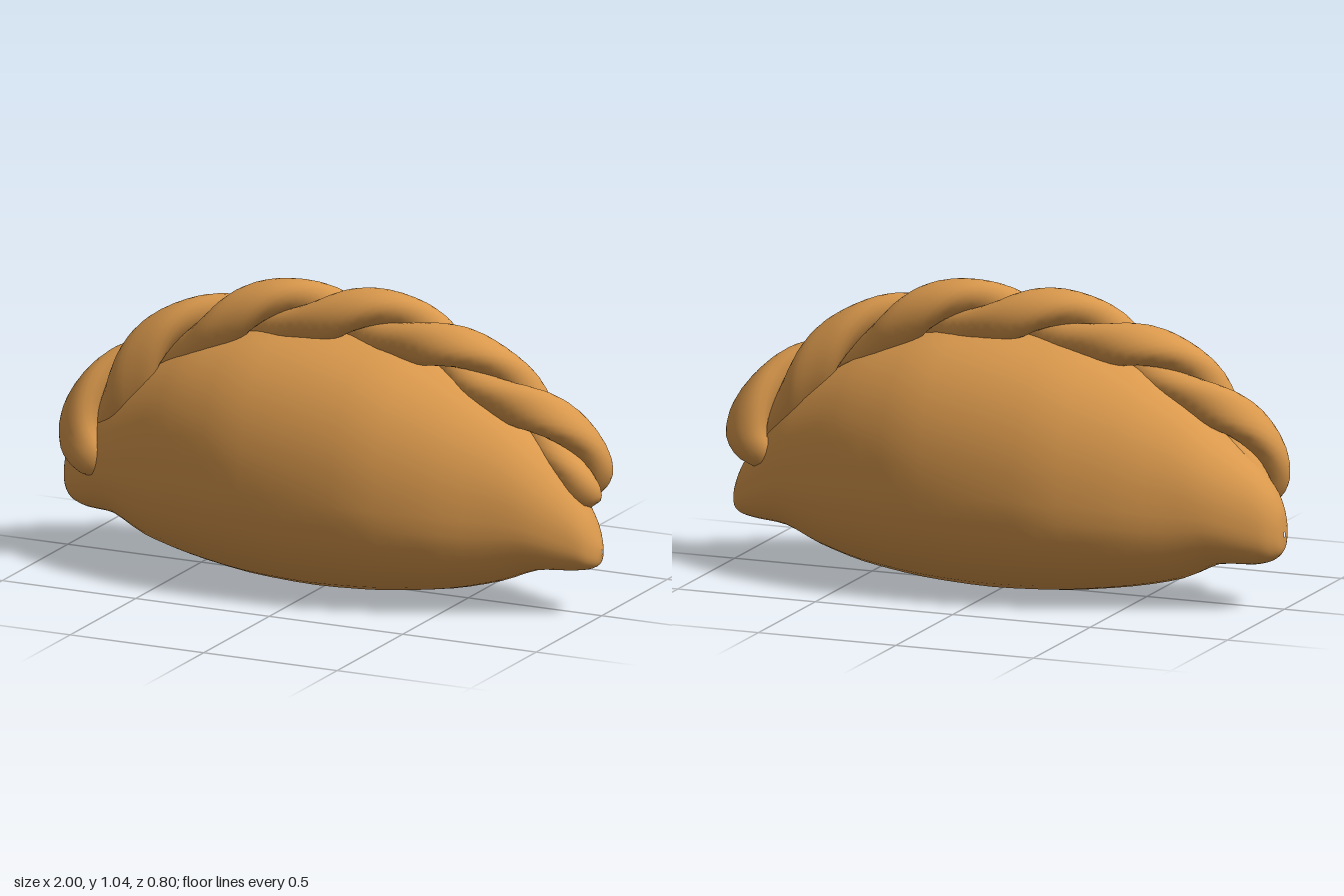
import * as THREE from 'three';

// Skin a list of closed rings with smooth shading
function loft(rings) {
  const n = rings[0].length, pos = [], idx = [];
  rings.forEach(r => r.forEach(p => pos.push(p.x, p.y, p.z)));
  for (let i = 0; i < rings.length - 1; i++) {
    for (let j = 0; j < n; j++) {
      const k = (j + 1) % n;
      const a = i * n + j, b = a + n, c = i * n + k, d = c + n;
      idx.push(a, b, c, c, b, d);
    }
  }
  const g = new THREE.BufferGeometry();
  g.setAttribute('position', new THREE.Float32BufferAttribute(pos, 3));
  g.setIndex(idx);
  g.computeVertexNormals();
  return g;
}

// Plump half-moon body: stations of x, bottom, top, half width
function bodyGeometry() {
  const stations = [
    [-1, 0.25, 0.27, 0.005], [-0.993, 0.2, 0.34, 0.045], [-0.96, 0.168, 0.41, 0.09],
    [-0.9, 0.152, 0.48, 0.13], [-0.78, 0.145, 0.58, 0.195], [-0.65, 0.085, 0.69, 0.25],
    [-0.48, 0.046, 0.79, 0.32], [-0.25, 0.015, 0.86, 0.385], [0, 0.003, 0.88, 0.4],
    [0.25, 0.015, 0.86, 0.385], [0.48, 0.046, 0.78, 0.32], [0.65, 0.09, 0.68, 0.245],
    [0.78, 0.142, 0.57, 0.185], [0.9, 0.153, 0.43, 0.115], [0.96, 0.163, 0.34, 0.075],
    [0.99, 0.18, 0.27, 0.035], [1, 0.215, 0.235, 0.004],
  ];
  const line = new THREE.CatmullRomCurve3(
    stations.map(s => new THREE.Vector3(s[0], s[1], s[2])), false, 'catmullrom', 0.4);
  const width = new THREE.CatmullRomCurve3(
    stations.map(s => new THREE.Vector3(s[0], s[3], 0)), false, 'catmullrom', 0.4);
  const rings = [], steps = 48, sides = 36;
  const soft = v => Math.sign(v) * Math.abs(v) ** 0.92;
  for (let i = 0; i <= steps; i++) {
    const p = line.getPoint(i / steps), w = width.getPoint(i / steps).y;
    const mid = p.y + (p.z - p.y) * 0.43;
    const ring = [];
    for (let j = 0; j < sides; j++) {
      const t = j / sides * Math.PI * 2, s = soft(Math.sin(t));
      ring.push(new THREE.Vector3(p.x,
        mid + s * (s > 0 ? p.z - mid : mid - p.y), w * soft(Math.cos(t))));
    }
    rings.push(ring);
  }
  return loft(rings);
}

// Arched line followed by the twisted crimp
const crimpPath = new THREE.CatmullRomCurve3([
  [-0.87, 0.29, 0.1], [-0.86, 0.48, 0.09], [-0.76, 0.63, 0.07], [-0.6, 0.77, 0.04],
  [-0.4, 0.86, 0.02], [-0.2, 0.92, 0.01], [0, 0.925, 0], [0.2, 0.925, 0],
  [0.4, 0.87, 0], [0.6, 0.77, -0.01], [0.77, 0.64, -0.04], [0.88, 0.5, -0.07],
  [0.91, 0.36, -0.08],
].map(p => new THREE.Vector3(...p)));

// One strand winding around the crimp line
function strandGeometry(phase) {
  const length = crimpPath.getLength(), steps = 120, sides = 16, rings = [];
  const front = new THREE.Vector3(0, 0, 1);
  for (let i = 0; i <= steps; i++) {
    const u = i / steps;
    const c = crimpPath.getPointAt(u), T = crimpPath.getTangentAt(u);
    const N = front.clone().cross(T).normalize();
    const B = T.clone().cross(N);
    const a = Math.PI * (u * length - 1.21) / 0.37 + phase;
    const e = B.clone().multiplyScalar(Math.cos(a)).addScaledVector(N, Math.sin(a));
    const f = N.clone().multiplyScalar(Math.cos(a)).addScaledVector(B, -Math.sin(a));
    // Rounded ends
    const edge = Math.min(1, Math.min(u, 1 - u) / 0.045);
    const taper = Math.max(0.01, Math.sqrt(1 - (1 - edge) ** 2));
    c.addScaledVector(e, 0.05);
    const ring = [];
    for (let j = 0; j < sides; j++) {
      const t = j / sides * Math.PI * 2;
      ring.push(c.clone().addScaledVector(e, 0.062 * taper * Math.cos(t))
        .addScaledVector(f, 0.08 * taper * Math.sin(t)));
    }
    rings.push(ring);
  }
  return loft(rings);
}

export function createModel() {
  const crust = new THREE.MeshStandardMaterial({ color: 0xd9984c });
  crust.name = 'golden crust';
  const model = new THREE.Group();
  model.name = 'stuffedPastry';

  const body = new THREE.Mesh(bodyGeometry(), crust);
  body.name = 'pastryBody';
  model.add(body);

  const crimp = new THREE.Group();
  crimp.name = 'twistedCrimp';
  [0, Math.PI].forEach((phase, i) => {
    const strand = new THREE.Mesh(strandGeometry(phase), crust);
    strand.name = `crimpStrand${i + 1}`;
    crimp.add(strand);
  });
  model.add(crimp);
  return model;
}
